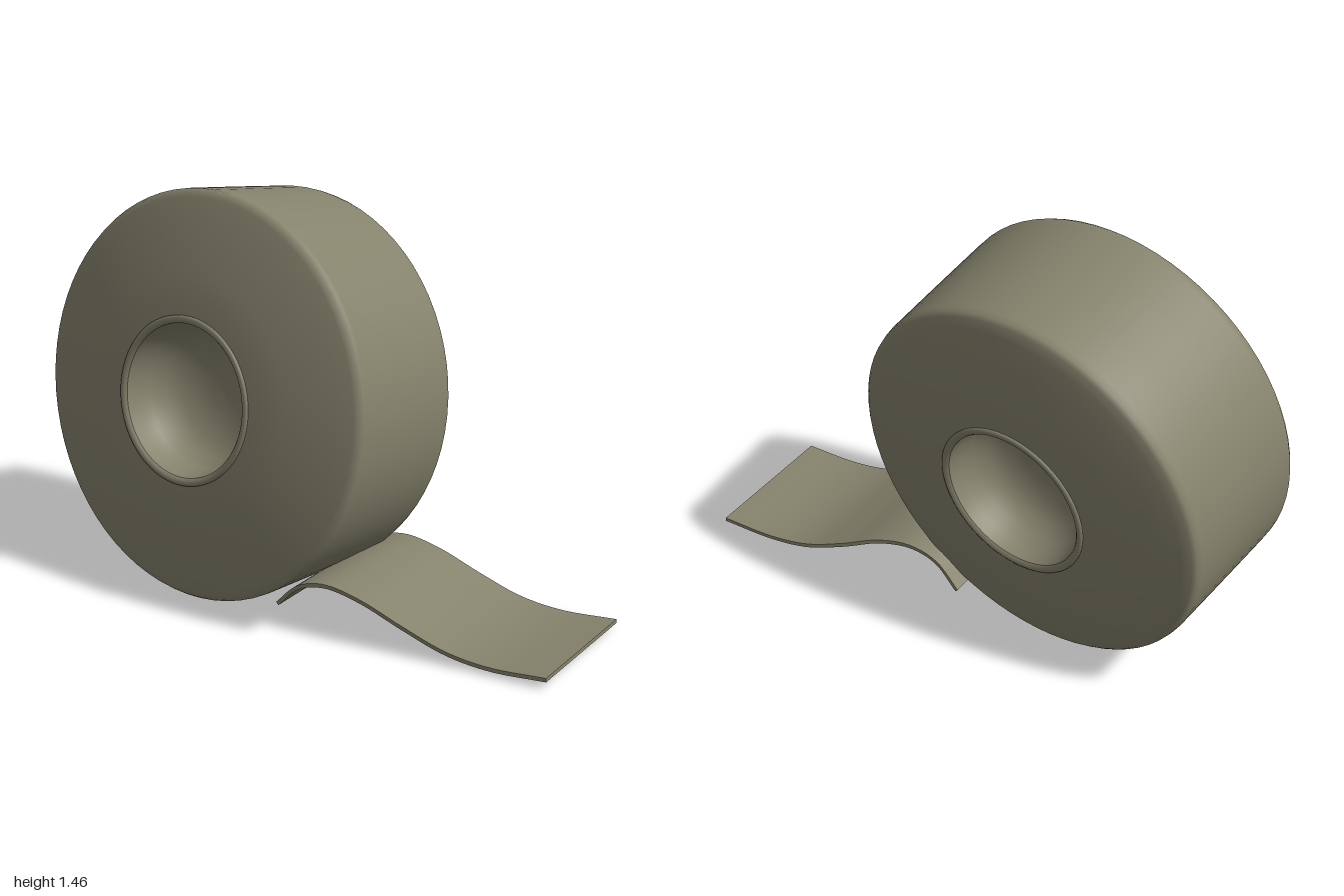
import * as THREE from 'three';

const tape = new THREE.MeshStandardMaterial({ color: 0x85826c });
tape.name = 'olive drab tape';

// Revolves a smooth profile of [radius, height] pairs around the roll axis (+z)
function revolve(name, pairs) {
  const geo = new THREE.LatheGeometry(pairs.map(([r, h]) => new THREE.Vector2(r, h)), 72);
  geo.rotateX(Math.PI / 2);
  const mesh = new THREE.Mesh(geo, tape);
  mesh.name = name;
  return mesh;
}

// Loose end: a thin box bent along a wavy path and sheared backwards
function makeTail() {
  const path = new THREE.CatmullRomCurve3([
    [0.03, 0.1, 0.3], [0.12, 0.185, 0.295], [0.22, 0.213, 0.28], [0.35, 0.188, 0.255],
    [0.5, 0.12, 0.215], [0.65, 0.063, 0.18], [0.8, 0.043, 0.15], [1, 0.053, 0.11],
  ].map((p) => new THREE.Vector3(...p)));
  const geo = new THREE.BoxGeometry(1, 1, 1, 40, 1, 8);
  const pos = geo.attributes.position;
  for (let i = 0; i < pos.count; i++) {
    const u = pos.getX(i) + 0.5;
    const across = 0.5 - pos.getZ(i); // 0 at the front edge, 1 at the back edge
    const p = path.getPoint(u);
    const t = path.getTangent(u);
    const n = Math.hypot(t.x, t.y);
    const off = pos.getY(i) * 0.014;
    pos.setXYZ(i,
      p.x - 0.055 * across - (t.y / n) * off,
      p.y - 0.008 * across + (t.x / n) * off,
      p.z - 0.525 * across);
  }
  geo.computeVertexNormals();
  const mesh = new THREE.Mesh(geo, tape);
  mesh.name = 'looseEnd';
  return mesh;
}

export function createModel() {
  const model = new THREE.Group();
  model.name = 'tapeRoll';

  const roll = new THREE.Group();
  roll.name = 'roll';

  // Wound body, with domed faces and softly rounded rims
  roll.add(revolve('woundBody', [
    [0.28, -0.337], [0.36, -0.334], [0.46, -0.322], [0.56, -0.304], [0.64, -0.285],
    [0.675, -0.274], [0.688, -0.262], [0.693, -0.24],
    [0.699, -0.1], [0.706, 0.08], [0.712, 0.245],
    [0.712, 0.262], [0.704, 0.276], [0.685, 0.284],
    [0.62, 0.3], [0.54, 0.318], [0.44, 0.336], [0.36, 0.347], [0.28, 0.35],
  ]));

  // Core on each face: a raised lip around a blind rounded recess
  const lip = [[0.293, 0], [0.293, 0.006], [0.285, 0.01], [0.273, 0.008], [0.266, 0]];
  const bowl = [[0.266, 0], [0.262, -0.05], [0.25, -0.1], [0.22, -0.15], [0.17, -0.185],
    [0.1, -0.205], [0.05, -0.21], [0, -0.212]];
  for (const [side, height, turn] of [['front', 0.352, 0], ['back', 0.338, Math.PI]]) {
    const core = new THREE.Group();
    core.name = side + 'Core';
    core.add(revolve('coreLip', lip), revolve('coreRecess', bowl));
    core.position.z = turn ? -height : height;
    core.rotation.y = turn;
    roll.add(core);
  }

  // The roll leans back and is slightly oval
  roll.scale.x = 0.966;
  roll.rotation.set(-0.132, 0.03, 0, 'YXZ');
  roll.position.set(-0.318, 0.737, 0.036);

  model.add(roll, makeTail());
  return model;
}
